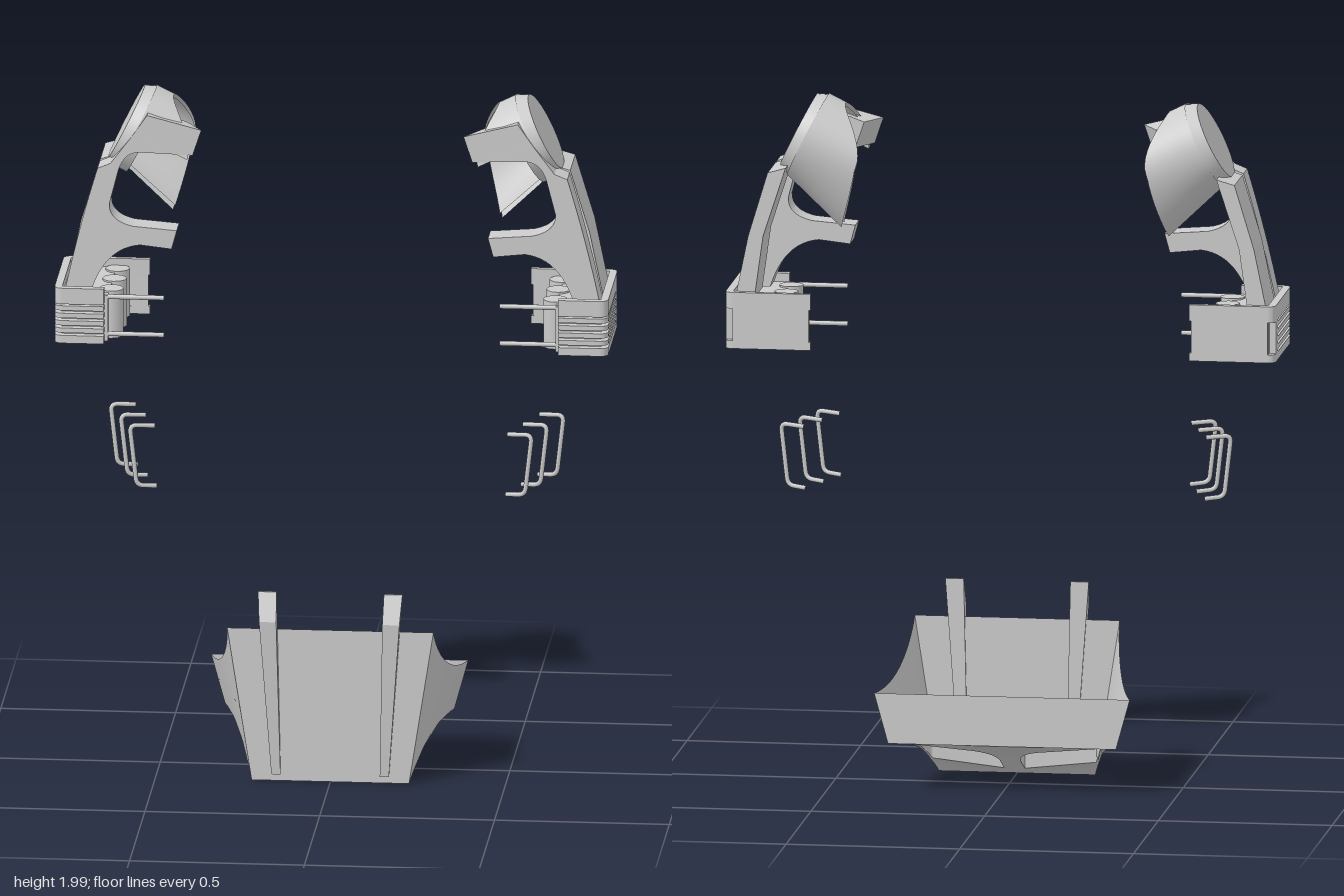
import * as THREE from 'three';

const mat = new THREE.MeshStandardMaterial({ color: 0xcccccc });
const thin = new THREE.MeshStandardMaterial({ color: 0xcccccc, side: THREE.DoubleSide });
const V = (x, y, z) => new THREE.Vector3(x, y, z);
const shapeOf = pts => new THREE.Shape(pts.map(p => new THREE.Vector2(...p)));

// smooth surface from a rule f(u, v) with u, v in 0..1
function surface(nu, nv, f) {
  const pos = [], idx = [];
  for (let i = 0; i <= nu; i++)
    for (let j = 0; j <= nv; j++) {
      pos.push(...f(i / nu, j / nv));
      if (i < nu && j < nv) {
        const a = i * (nv + 1) + j, b = a + nv + 1;
        idx.push(a, b, a + 1, b, b + 1, a + 1);
      }
    }
  const g = new THREE.BufferGeometry();
  g.setAttribute('position', new THREE.Float32BufferAttribute(pos, 3));
  g.setIndex(idx);
  g.computeVertexNormals();
  return g;
}

// mirror across x = 0 and restore the corner order
function mirrored(geo) {
  const g = geo.index ? geo.toNonIndexed() : geo.clone();
  g.scale(-1, 1, 1);
  const idx = [];
  for (let i = 0; i < g.attributes.position.count; i += 3) idx.push(i, i + 2, i + 1);
  g.setIndex(idx);
  return g;
}

// profile in x-y, extruded from z0 to z1
function slab(shape, z0, z1) {
  return new THREE.ExtrudeGeometry(shape, { depth: z1 - z0, bevelEnabled: false, curveSegments: 12 }).translate(0, 0, z0);
}

// plan in x-z (drawn with y = -z), extruded upwards
function planSlab(shape, y0, y1) {
  return new THREE.ExtrudeGeometry(shape, { depth: y1 - y0, bevelEnabled: false, curveSegments: 8 })
    .rotateX(-Math.PI / 2).translate(0, y0, 0);
}

function box(x0, x1, y0, y1, z0, z1) {
  return new THREE.BoxGeometry(x1 - x0, y1 - y0, z1 - z0)
    .translate((x0 + x1) / 2, (y0 + y1) / 2, (z0 + z1) / 2);
}

function wire(pts, r) {
  const path = new THREE.CurvePath();
  let from = pts[0];
  for (let i = 1; i < pts.length - 1; i++) {
    const a = pts[i].clone().add(from.clone().sub(pts[i]).setLength(0.02));
    const b = pts[i].clone().add(pts[i + 1].clone().sub(pts[i]).setLength(0.02));
    path.add(new THREE.LineCurve3(from, a));
    path.add(new THREE.QuadraticBezierCurve3(a, pts[i], b));
    from = b;
  }
  path.add(new THREE.LineCurve3(from, pts[pts.length - 1]));
  return new THREE.TubeGeometry(path, 48, r, 8);
}

// C-shaped outline of the arm base wall, with or without the back panel
function baseWall(withBack) {
  const s = new THREE.Shape();
  s.moveTo(0.65, -0.135);
  s.lineTo(0.765, -0.135);
  s.quadraticCurveTo(0.792, -0.135, 0.792, -0.108);
  if (withBack) {
    s.lineTo(0.792, 0.17);
    s.quadraticCurveTo(0.792, 0.195, 0.767, 0.195);
    s.lineTo(0.545, 0.195);
    s.lineTo(0.545, 0.18);
    s.lineTo(0.77, 0.175);
  } else {
    s.lineTo(0.792, 0.14);
    s.lineTo(0.77, 0.14);
  }
  s.lineTo(0.77, -0.112);
  s.lineTo(0.65, -0.112);
  return s;
}

export function createModel() {
  const root = new THREE.Group();
  const group = name => {
    const g = new THREE.Group();
    g.name = name;
    root.add(g);
    return g;
  };
  const add = (parent, name, geo, m = mat) => {
    const mesh = new THREE.Mesh(geo, m);
    mesh.name = name;
    parent.add(mesh);
  };
  const arms = [group('leftArm'), group('rightArm')];
  const hooks = [group('leftWireHooks'), group('rightWireHooks')];
  const basket = group('basket'), halves = [basket, basket];
  const both = (pair, name, geo, m) => {
    add(pair[0], name, geo, m);
    add(pair[1], name, mirrored(geo), m);
  };

  // arm base: vented wall, solid back panel, ribbed core and pins
  both(arms, 'baseUpperBand', planSlab(baseWall(true), 1.393, 1.44));
  both(arms, 'baseLowerBand', planSlab(baseWall(true), 1.277, 1.3));
  for (let i = 0; i < 4; i++)
    both(arms, 'ventSlat', planSlab(baseWall(false), 1.308 + i * 0.022, 1.322 + i * 0.022));
  both(arms, 'basePanel', box(0.55, 0.77, 1.28, 1.43, -0.195, -0.18));
  both(arms, 'basePanelCorner', box(0.77, 0.792, 1.28, 1.44, -0.17, -0.135));
  both(arms, 'baseCore', box(0.64, 0.772, 1.28, 1.415, -0.18, 0.113));
  for (const z of [-0.15, -0.05, 0.05])
    both(arms, 'baseRib', new THREE.CylinderGeometry(0.035, 0.035, 0.14, 12).translate(0.635, 1.35, z));
  for (const y of [1.3, 1.41])
    both(arms, 'pin', new THREE.CylinderGeometry(0.007, 0.007, 0.18, 10).rotateZ(Math.PI / 2).translate(0.57, y, 0.105));

  // strut and front claw with its upper and lower jaw
  const claw = new THREE.Shape();
  claw.moveTo(0.765, 1.42);
  claw.quadraticCurveTo(0.725, 1.61, 0.672, 1.785);
  claw.lineTo(0.635, 1.80);
  claw.lineTo(0.575, 1.88);
  claw.lineTo(0.53, 1.945);
  claw.lineTo(0.375, 1.905);
  claw.lineTo(0.40, 1.83);
  claw.lineTo(0.55, 1.835);
  claw.quadraticCurveTo(0.60, 1.835, 0.615, 1.77);
  claw.lineTo(0.638, 1.68);
  claw.quadraticCurveTo(0.64, 1.63, 0.57, 1.615);
  claw.lineTo(0.445, 1.605);
  claw.lineTo(0.46, 1.55);
  claw.lineTo(0.55, 1.56);
  claw.quadraticCurveTo(0.65, 1.55, 0.69, 1.42);
  const front = slab(claw, 0.009, 0.087);
  // the upper jaw narrows to a band at the front
  const fp = front.attributes.position;
  for (let i = 0; i < fp.count; i++)
    if (fp.getZ(i) < 0.05 && fp.getY(i) > 1.8 && fp.getX(i) < 0.45) fp.setX(i, fp.getX(i) + 0.045);
  front.computeVertexNormals();
  both(arms, 'frontClaw', front);
  both(arms, 'rearStrut', slab(shapeOf([[0.71, 1.42], [0.765, 1.42], [0.728, 1.6], [0.672, 1.785], [0.62, 1.80], [0.685, 1.6]]), -0.172, -0.009));

  // round cap and the hollow cup behind it, open to the front and below
  const c = V(0.60, 1.89, -0.043), d = V(-0.895, -0.447, 0), p = V(-0.447, 0.895, 0);
  const tilt = g => g.rotateZ(-Math.atan2(0.895, 0.447)).translate(c.x, c.y, c.z);
  both(arms, 'roundCap', tilt(new THREE.CylinderGeometry(0.115, 0.13, 0.035, 40).translate(0, -0.0175, 0)));
  both(arms, 'capRim', tilt(new THREE.CylinderGeometry(0.13, 0.13, 0.03, 40).translate(0, -0.05, 0)));
  const cup = r => surface(36, 8, (u, v) => {
    const a = 1.45 - u * 4.25, s = Math.sin(a), below = a < -Math.PI / 2 ? -Math.cos(a) : 0;
    const rim = below > 0 ? 0.2 + 0.04 * below : 0.085 + 0.115 * s * s;
    const q = c.clone().addScaledVector(d, 0.03 + (rim - 0.03) * v)
      .addScaledVector(p, r * Math.cos(a) * (1 + 0.55 * v * below));
    return [q.x, q.y, q.z + r * s];
  });
  both(arms, 'cupOuter', cup(0.131), thin);
  both(arms, 'cupInner', cup(0.12), thin);

  // three bent wire hooks on each side
  for (const [x, z] of [[0.575, 0.14], [0.61, 0.035], [0.648, -0.07]])
    both(hooks, 'wireHook', wire([
      V(x - 0.07, 1.035, z - 0.018), V(x, 1.04, z), V(x - 0.02, 0.862, z), V(x - 0.075, 0.857, z - 0.018)], 0.007));

  // basket shell: front plate, flaring sides and back wall
  const mix = THREE.MathUtils.lerp;
  const halfTop = s => 0.295 + 0.073 * s ** 1.4;
  const halfBottom = s => 0.225 + 0.103 * s;
  const topY = s => 0.28 + 0.17 * (1 - s) ** 2.2;
  const archY = s => 0.135 * (1 - (1 - s) ** 2.3);
  const zAt = s => 0.155 - 0.308 * s;
  const side = surface(20, 4, (s, v) => [mix(halfBottom(s), halfTop(s), v), mix(archY(s), topY(s), v), zAt(s)]);
  both(halves, 'basketSide', side, thin);
  for (const [name, s] of [['basketFront', 0], ['basketBack', 1]])
    add(basket, name, surface(1, 1, (u, v) =>
      [mix(halfBottom(s), halfTop(s), v) * (2 * u - 1), mix(archY(s), topY(s), v), zAt(s)]), thin);

  // lower floor slopes up to the back, the upper floor is level; both share two openings
  const levelY = 0.21;
  const floorY = (x, z) => {
    const s = (0.155 - z) / 0.308;
    return mix(0.135 * s, archY(s), Math.min(1, Math.abs(x) / halfBottom(s)) ** 2);
  };
  const levelHalf = s => mix(halfBottom(s), halfTop(s), (levelY - archY(s)) / (topY(s) - archY(s)));
  const hole = new THREE.Path();
  hole.moveTo(0.03, -0.1);
  hole.lineTo(0.03, -0.01);
  hole.quadraticCurveTo(0.035, 0.06, 0.09, 0.08);
  hole.lineTo(0.27, 0.08);
  hole.quadraticCurveTo(0.265, -0.01, 0.235, -0.1);
  hole.lineTo(0.03, -0.1);
  const floorGeo = (halfWidth, height) => {
    const edge = [[0, -0.155]];
    for (let i = 0; i <= 12; i++) edge.push([halfWidth(i / 12), -zAt(i / 12)]);
    const shape = shapeOf([...edge, [0, 0.153]]);
    shape.holes.push(hole);
    const g = new THREE.ShapeGeometry(shape, 12).rotateX(-Math.PI / 2), pos = g.attributes.position;
    for (let i = 0; i < pos.count; i++) pos.setY(i, height(pos.getX(i), pos.getZ(i)));
    g.computeVertexNormals();
    return g;
  };
  both(halves, 'lowerFloor', floorGeo(halfBottom, floorY), thin);
  both(halves, 'upperFloor', floorGeo(levelHalf, () => levelY), thin);
  const rim = hole.getPoints(12), n = rim.length - 1;
  both(halves, 'openingWall', surface(n, 1, (u, v) => {
    const { x, y } = rim[Math.round(u * n)];
    return [x, mix(floorY(x, -y), levelY, v), -y];
  }), thin);
  for (const z of [-0.065, -0.015, 0.035, 0.083])
    both(halves, 'floorSlat', box(0.025, 0.25 - 0.1 * (z + 0.07), levelY - 0.015, levelY, z - 0.01, z + 0.01));

  // tapering wedge straps on the front plate
  const strap = new THREE.ExtrudeGeometry(shapeOf([[0.15, 0.02], [0.162, 0.02], [0.192, 0.48], [0.157, 0.56], [0.15, 0.56]]),
    { depth: 1, bevelEnabled: false }).translate(0, 0, -0.5);
  const sp = strap.attributes.position;
  for (let i = 0; i < sp.count; i++) {
    const z = sp.getX(i), k = (sp.getY(i) - 0.02) / 0.54;
    sp.setX(i, mix(0.155, 0.18, k) - sp.getZ(i) * mix(0.026, 0.053, k));
    sp.setZ(i, z);
  }
  strap.computeVertexNormals();
  both(halves, 'strap', strap);
  return root;
}
